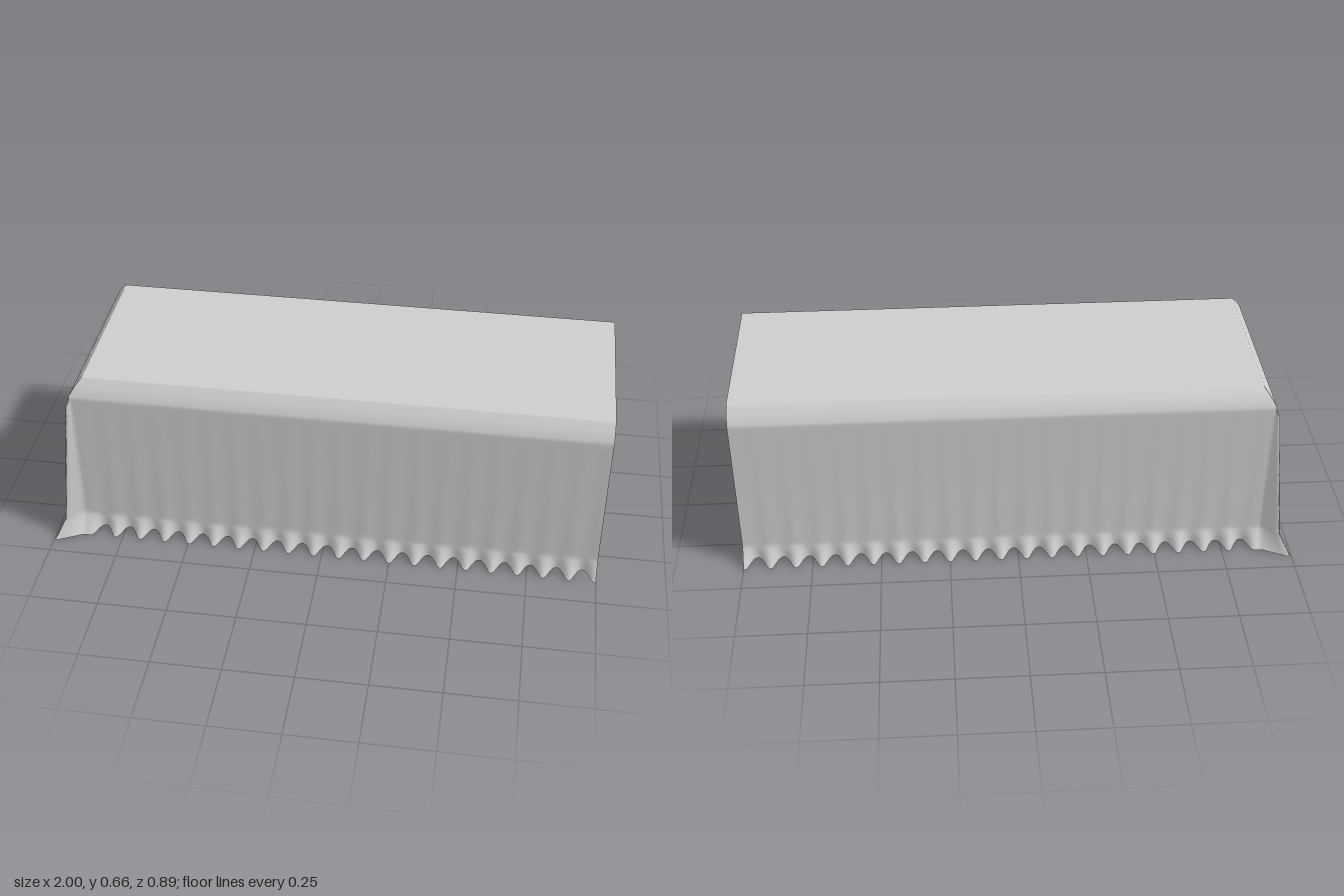
import * as THREE from 'three';

const HALF_W = 0.353, END_X = -0.905, TOP_Y = 0.663, PITCH = 0.0933;
const HEM_Y = 0.075, FLAP_Y = 0.59;

// Cross-section levels from the hem upward: [height, inset from the wall]
const LEVELS = [
  [0, 0], [0.012, 0], [0.025, 0], [0.04, 0], [0.055, 0], [0.066, 0], [HEM_Y, 0], [0.09, 0],
  [0.2, 0], [0.33, 0], [0.46, 0], [0.57, 0], [FLAP_Y, 0], [0.605, 0.001],
  [0.634, 0.02], [TOP_Y - 0.002, 0.041], [TOP_Y, 0.045], [TOP_Y, 0.05],
];

// Pleat strength, 1 on a fold and 0 between folds
const pleat = (s) => Math.pow((1 + Math.cos((s / PITCH) * Math.PI * 2)) / 2, 1.3);

// Outward push of the ruffled hem, plus the faint waves in the hanging cloth
function hang(y, p) {
  const k = Math.max(0, 1 - y / HEM_Y);
  const wave = y < FLAP_Y ? 0.003 * (1 - y / FLAP_Y) * p : 0;
  return { out: 0.044 * Math.pow(k, 1.15) * p + wave, lift: 0.016 * k * (1 - p) };
}

// How far the gathered corner fold reaches out at a height
function flapReach(y) {
  if (y >= FLAP_Y) return 0;
  if (y > HEM_Y) return 0.007 + 0.044 * (FLAP_Y - y) / (FLAP_Y - HEM_Y);
  return 0.051 + 0.038 * (1 - y / HEM_Y);
}

// Half of a ring: front side, corner fold, then the end wall up to its middle
function halfRing(y, inset) {
  const pts = [];
  const zw = HALF_W - inset, xe = END_X + inset;
  const reach = flapReach(y), root = reach > 0 ? 0.006 : 0;
  const NS = 200, NE = 40, NF = 4;
  for (let i = 0; i <= NS; i++) {
    const x = THREE.MathUtils.lerp(1, xe + root, i / NS);
    const { out, lift } = hang(y, x < -0.87 ? 1 : pleat(x - 0.996));
    pts.push([x, y + lift, zw + out]);
  }
  const a = pts[pts.length - 1];
  const e = hang(y, pleat(zw - root));
  const b = [xe - e.out, y + e.lift, zw - root];
  const t = reach > 0 ? 0.003 : 0;
  const tipA = [xe - reach + t, y, zw + reach + t];
  const tipB = [xe - reach - t, y, zw + reach - t];
  const mix = (p, q, f) => p.map((v, k) => v + (q[k] - v) * f);
  for (let i = 1; i <= NF; i++) pts.push(mix(a, tipA, i / NF));
  for (let i = 0; i < NF; i++) pts.push(mix(tipB, b, i / NF));
  for (let i = 0; i <= NE; i++) {
    const z = (zw - root) * (1 - i / NE);
    const { out, lift } = hang(y, pleat(z));
    pts.push([xe - out, y + lift, z]);
  }
  return pts;
}

// Skirt: rings stacked from hem to the top edge
function skirtGeometry() {
  const pos = [], idx = [];
  let w = 0;
  for (const [y, inset] of LEVELS) {
    const half = halfRing(y, inset);
    const back = half.slice(0, -1).reverse().map(([x, yy, z]) => [x, yy, -z]);
    const ring = half.concat(back);
    w = ring.length;
    ring.forEach((p) => pos.push(...p));
  }
  for (let j = 0; j < LEVELS.length - 1; j++) {
    for (let i = 0; i < w - 1; i++) {
      const a = j * w + i;
      idx.push(a, a + w, a + 1, a + 1, a + w, a + w + 1);
    }
  }
  const g = new THREE.BufferGeometry();
  g.setAttribute('position', new THREE.Float32BufferAttribute(pos, 3));
  g.setIndex(idx);
  g.computeVertexNormals();
  return g;
}

export function createModel() {
  const group = new THREE.Group();
  group.name = 'tablecloth';
  const cloth = new THREE.MeshStandardMaterial({ color: 0xcccccc, side: THREE.DoubleSide });
  cloth.name = 'grey cloth';

  const skirt = new THREE.Mesh(skirtGeometry(), cloth);
  skirt.name = 'skirt';
  group.add(skirt);

  // Flat table top, open at the +x end
  const x0 = END_X + 0.05;
  const top = new THREE.Mesh(new THREE.PlaneGeometry(1 - x0, 2 * (HALF_W - 0.05)), cloth);
  top.name = 'top';
  top.rotation.x = -Math.PI / 2;
  top.position.set((1 + x0) / 2, TOP_Y, 0);
  group.add(top);

  return group;
}
